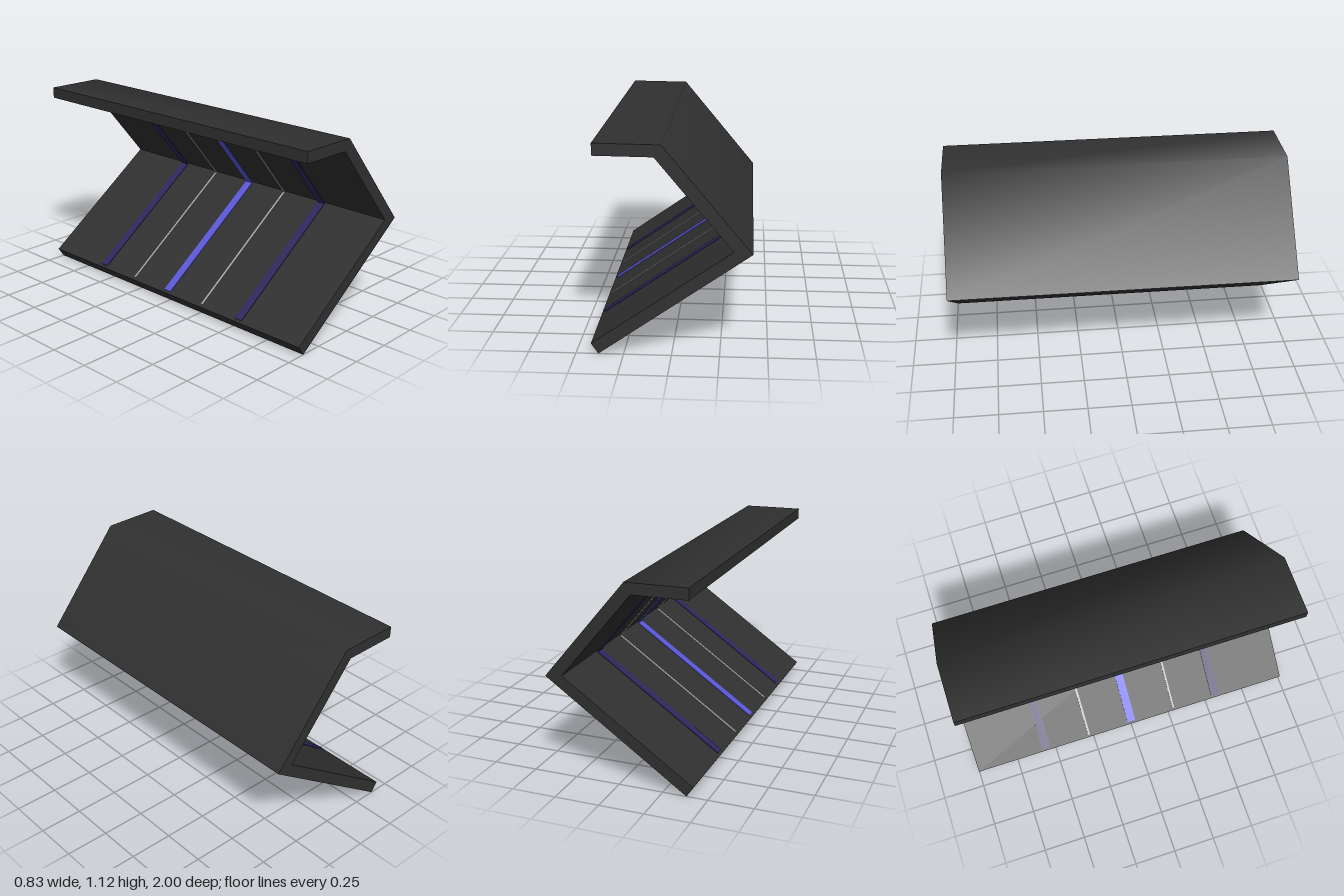
import * as THREE from 'three';
import { toCreasedNormals } from 'three/addons/utils/BufferGeometryUtils.js';

const LENGTH = 2;

// Strip colours and layout across the length: z, width, colour
const STRIPS = [
  [0, 0.05, 0x5b57d9],
  [-0.28, 0.012, 0xb0b0b0], [0.28, 0.012, 0xb0b0b0],
  [-0.56, 0.05, 0x30265f], [0.56, 0.05, 0x30265f],
];

// Row of thin strips running from point a to point b in the xy plane
function stripRow(name, a, b, thickness) {
  const row = new THREE.Group();
  row.name = name;
  for (const [z, width, color] of STRIPS) {
    const strip = new THREE.Mesh(
      new THREE.BoxGeometry(a.distanceTo(b), thickness, width),
      new THREE.MeshStandardMaterial({ color })
    );
    strip.name = name + 'Strip';
    strip.position.set((a.x + b.x) / 2, (a.y + b.y) / 2, z);
    strip.rotation.z = Math.atan2(b.y - a.y, b.x - a.x);
    row.add(strip);
  }
  return row;
}

export function createModel() {
  const model = new THREE.Group();
  model.name = 'foldedPanel';

  // Folded shell: base, leaning wall and top flap in one profile
  const profile = new THREE.Shape([
    [-0.382, 0], [0.415, 0.558], [-0.048, 1.117], [-0.395, 1.122],
    [-0.395, 1.058], [-0.085, 1.054], [0.318, 0.57], [-0.42, 0.056],
  ].map(([x, y]) => new THREE.Vector2(x, y)));
  const geometry = new THREE.ExtrudeGeometry(profile, { depth: LENGTH, bevelEnabled: false });
  geometry.translate(0, 0, -LENGTH / 2);
  const shell = new THREE.Mesh(
    toCreasedNormals(geometry, 1.0), // soft fold at the flap, sharp elsewhere
    new THREE.MeshStandardMaterial({ color: 0x303030 })
  );
  shell.name = 'shell';
  model.add(shell);

  // Strips lying on the base, and strips standing just off the wall
  const v = (x, y) => new THREE.Vector2(x, y);
  model.add(stripRow('base', v(-0.407, 0.067), v(0.31, 0.566), 0.005));
  model.add(stripRow('wall', v(-0.091, 1.048), v(0.31, 0.566), 0.005));
  return model;
}
